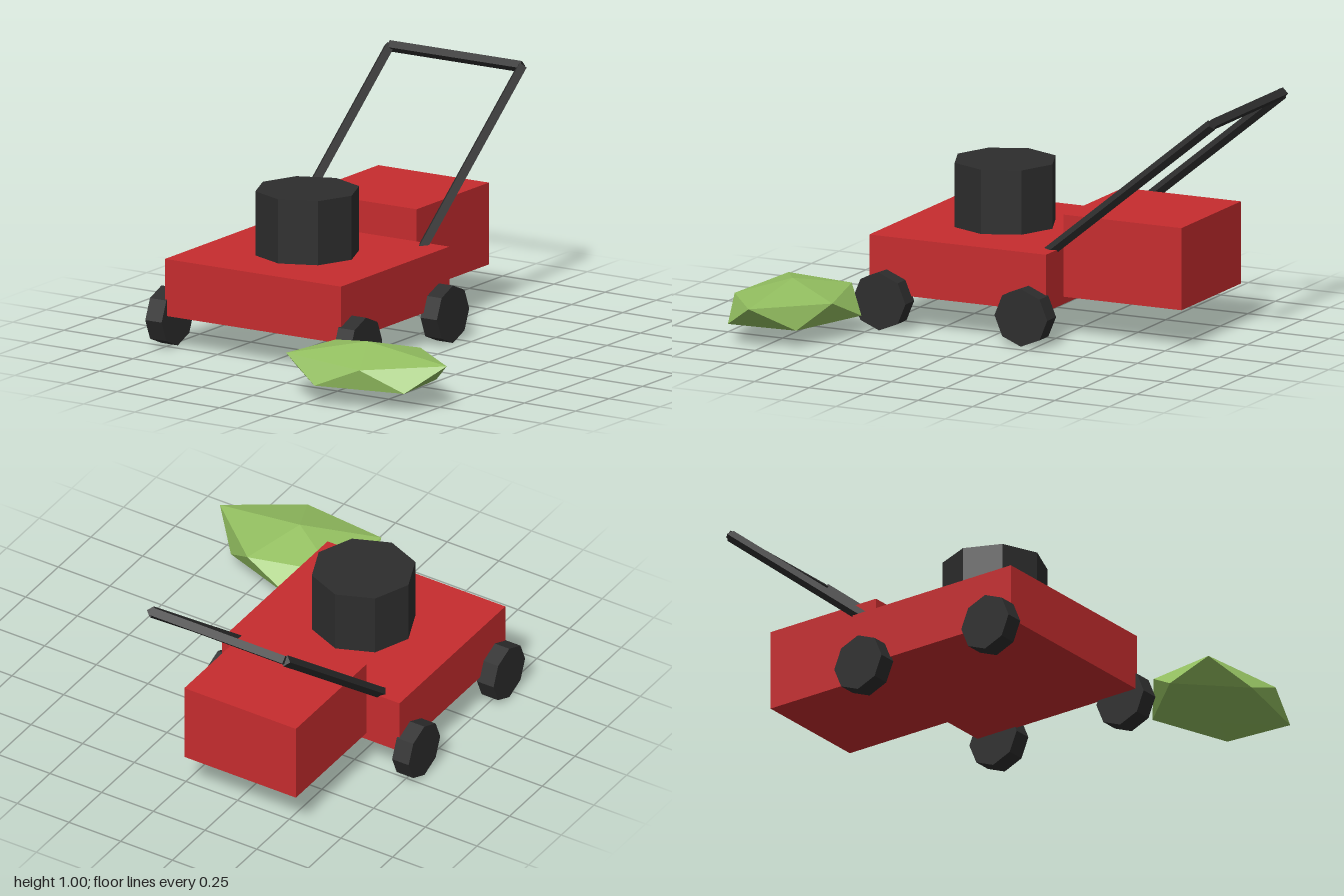
import * as THREE from 'three';

const CX = -0.3; // centre line of the mower

const red = new THREE.MeshStandardMaterial({ color: 0xc62c2e });
red.name = 'red paint';
const black = new THREE.MeshStandardMaterial({ color: 0x2d2d2d });
black.name = 'black';
const green = new THREE.MeshStandardMaterial({ color: 0x93bf60 });
green.name = 'grass green';

// Faceted copy of a geometry, one normal per face
function faceted(geometry) {
  const g = geometry.index ? geometry.toNonIndexed() : geometry;
  g.computeVertexNormals();
  return g;
}

function part(name, geometry, material, x = 0, y = 0, z = 0) {
  const mesh = new THREE.Mesh(faceted(geometry), material);
  mesh.name = name;
  mesh.position.set(x, y, z);
  return mesh;
}

// Four-sided rod between two points
function rod(name, a, b, radius) {
  const dir = b.clone().sub(a);
  const mesh = part(name, new THREE.CylinderGeometry(radius, radius, dir.length(), 4), black);
  mesh.position.copy(a).add(b).multiplyScalar(0.5);
  mesh.quaternion.setFromUnitVectors(new THREE.Vector3(0, 1, 0), dir.normalize());
  return mesh;
}

// Irregular twenty-sided clump: two staggered rings of five between two poles
function clumpGeometry() {
  const upper = [[0.79, 0.18, 0.76], [0.5, 0.167, 0.97], [0.11, 0.178, 0.92], [0.15, 0.175, 0.61], [0.505, 0.17, 0.52]];
  const lower = [[0.68, 0.08, 0.91], [0.3, 0.082, 1.0], [0.06, 0.08, 0.76], [0.3, 0.08, 0.49], [0.645, 0.075, 0.615]];
  const top = [0.4, 0.232, 0.755];
  const bottom = [0.4, 0.03, 0.755];
  const corners = [];
  for (let i = 0; i < 5; i++) {
    const j = (i + 1) % 5;
    corners.push(top, upper[j], upper[i]);
    corners.push(upper[i], upper[j], lower[i]);
    corners.push(upper[j], lower[j], lower[i]);
    corners.push(bottom, lower[i], lower[j]);
  }
  const g = new THREE.BufferGeometry();
  g.setAttribute('position', new THREE.Float32BufferAttribute(corners.flat(), 3));
  return g;
}

export function createModel() {
  const model = new THREE.Group();
  model.name = 'lawnMower';

  // Body
  model.add(part('deck', new THREE.BoxGeometry(0.86, 0.24, 0.81), red, CX, 0.26, 0.135));
  model.add(part('grassBox', new THREE.BoxGeometry(0.54, 0.345, 0.54), red, CX, 0.343, -0.54));
  model.add(part('engine', new THREE.CylinderGeometry(0.217, 0.217, 0.29, 8), black, CX, 0.505, 0.135));

  // Wheels
  for (const [side, sx] of [['Left', 1], ['Right', -1]]) {
    for (const [end, z] of [['front', 0.46], ['rear', -0.19]]) {
      const geometry = new THREE.CylinderGeometry(0.121, 0.121, 0.08, 8).rotateZ(Math.PI / 2);
      model.add(part(`${end}${side}Wheel`, geometry, black, CX + sx * 0.46, 0.121, z));
    }
  }

  // Handle: two sloping arms and a crossbar
  const handle = new THREE.Group();
  handle.name = 'handle';
  const foot = (sx) => new THREE.Vector3(CX + sx * 0.323, 0.355, -0.215);
  const grip = (sx) => new THREE.Vector3(CX + sx * 0.323, 0.977, -0.975);
  handle.add(rod('leftArm', foot(1), grip(1), 0.024));
  handle.add(rod('rightArm', foot(-1), grip(-1), 0.024));
  handle.add(rod('crossbar', grip(-1), grip(1), 0.024));
  model.add(handle);

  // Clump of grass by the front left wheel
  model.add(part('grassClump', clumpGeometry(), green));

  return model;
}
